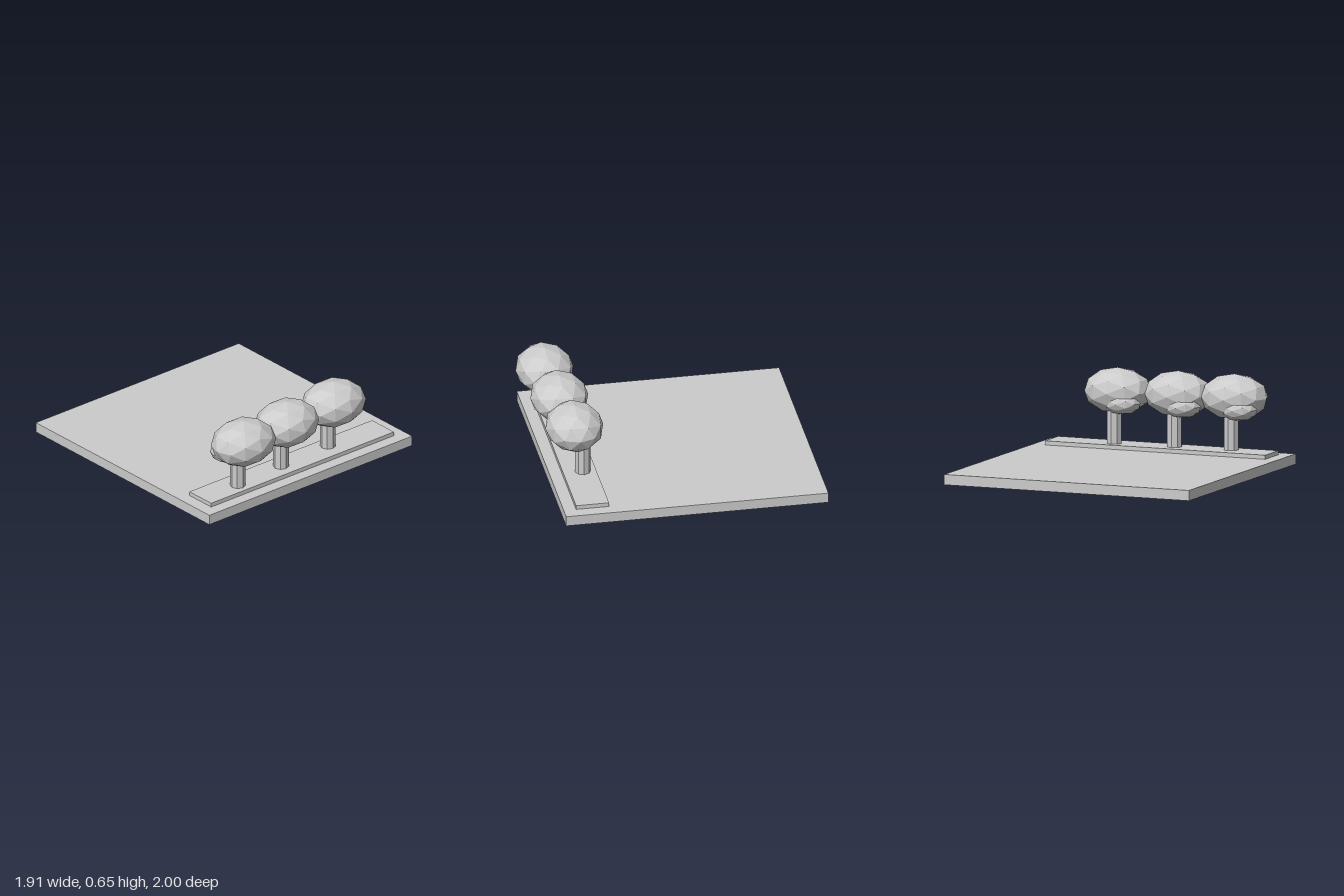
import * as THREE from 'three';

export function createModel() {
  const model = new THREE.Group();
  const material = new THREE.MeshStandardMaterial({ color: 0xcccccc, flatShading: true });

  function add(parent, name, geometry, x, y, z) {
    const mesh = new THREE.Mesh(geometry, material);
    mesh.name = name;
    mesh.position.set(x, y, z);
    parent.add(mesh);
    return mesh;
  }

  // Ground slab and the raised planting strip along its front edge
  add(model, 'groundSlab', new THREE.BoxGeometry(1.91, 0.075, 1.91), 0, 0.0375, -0.045);
  add(model, 'plantingStrip', new THREE.BoxGeometry(1.72, 0.03, 0.24), 0, 0.09, 0.7);

  // Low-poly foliage ball, stretched to an ellipsoid
  const foliage = (rx, ry, rz) => new THREE.IcosahedronGeometry(1, 1).scale(rx, ry, rz);
  const crownShape = foliage(0.25, 0.168, 0.21);
  const tuftShape = foliage(0.14, 0.085, 0.125);
  const trunkShape = new THREE.CylinderGeometry(0.056, 0.056, 0.4, 8);

  // Row of three trees: trunk runs through the slab, crown leans forward, small tuft behind
  [[-0.53, 0.727], [-0.1, 0.7], [0.36, 0.677]].forEach(([x, z], i) => {
    const tree = new THREE.Group();
    tree.name = `tree${i + 1}`;
    tree.position.set(x, 0, z);
    add(tree, 'trunk', trunkShape, 0, 0.2, 0);
    add(tree, 'crown', crownShape, 0, 0.478, 0.062);
    add(tree, 'foliageTuft', tuftShape, -0.07, 0.405, -0.018);
    model.add(tree);
  });

  return model;
}
